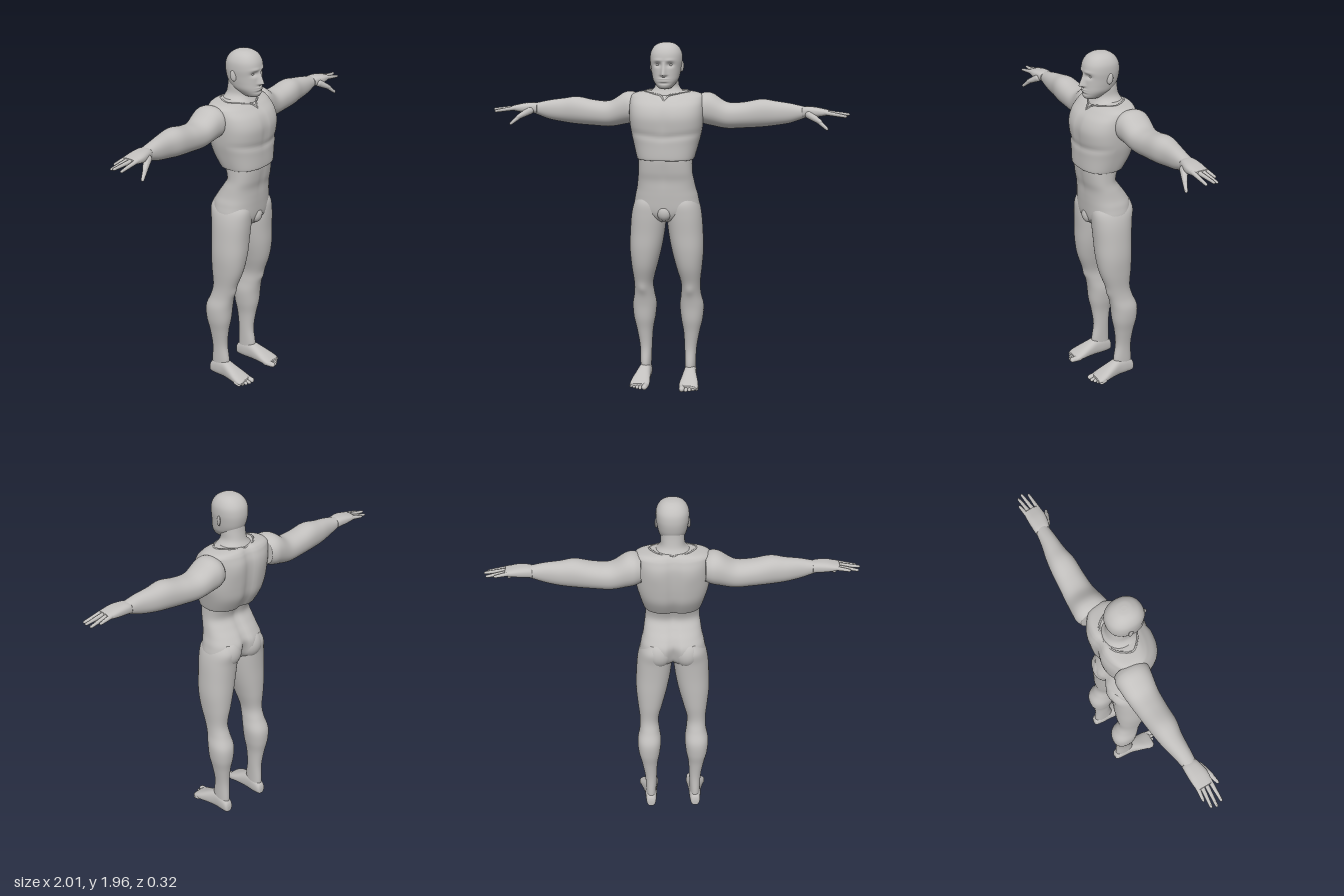
import * as THREE from 'three';

const V = (x, y, z) => new THREE.Vector3(x, y, z);
const gauss = (d, s) => Math.exp(-(d * d) / (s * s));

// Smooth body through cross-sections along an axis.
// Row: [position, uMin, uMax, vMin, vMax]; (u, v) is (z, x) for y, (y, z) for x, (x, y) for z.
function loft(axis, rows, { power = 2.2, seg = 40, sub = 6, shape } = {}) {
  const rings = (rows.length - 1) * sub + 1, pos = [], idx = [];
  const at = (i) => rows[Math.max(0, Math.min(rows.length - 1, i))];
  const place = (u, v, s) => {
    const p = axis === 'y' ? V(v, s, u) : axis === 'x' ? V(s, u, v) : V(u, v, s);
    if (shape) shape(p);
    pos.push(p.x, p.y, p.z);
  };
  const ends = [];
  for (let r = 0; r < rings; r++) {
    const i = Math.min(Math.floor(r / sub), rows.length - 2), t = r / sub - i;
    const row = rows[0].map((_, k) => {
      const a = at(i - 1)[k], b = at(i)[k], c = at(i + 1)[k], d = at(i + 2)[k];
      return b + 0.5 * t * (c - a + t * (2 * a - 5 * b + 4 * c - d + t * (3 * (b - c) + d - a)));
    });
    const [s, u0, u1, v0, v1] = row;
    if (r === 0 || r === rings - 1) ends.push([(u0 + u1) / 2, (v0 + v1) / 2, s]);
    for (let j = 0; j < seg; j++) {
      const a = (j / seg) * Math.PI * 2, c = Math.cos(a), n = Math.sin(a);
      place((u0 + u1) / 2 + ((u1 - u0) / 2) * Math.sign(c) * Math.abs(c) ** (2 / power),
        (v0 + v1) / 2 + ((v1 - v0) / 2) * Math.sign(n) * Math.abs(n) ** (2 / power), s);
    }
  }
  ends.forEach((e) => place(...e));
  const low = rings * seg, high = low + 1, last = (rings - 1) * seg;
  for (let j = 0; j < seg; j++) {
    const k = (j + 1) % seg;
    for (let r = 0; r < rings - 1; r++) {
      const a = r * seg + j, b = r * seg + k;
      idx.push(a, b, b + seg, a, b + seg, a + seg);
    }
    idx.push(low, k, j, high, last + j, last + k);
  }
  const g = new THREE.BufferGeometry();
  g.setAttribute('position', new THREE.Float32BufferAttribute(pos, 3));
  g.setIndex(idx);
  g.computeVertexNormals();
  return g;
}

// Tapered capsule from a to b, for fingers and toes
function digit(a, b, ra, rb) {
  const len = a.distanceTo(b), g = new THREE.CapsuleGeometry(1, len / ra, 6, 14);
  g.scale(ra, ra, ra);
  const p = g.attributes.position;
  for (let i = 0; i < p.count; i++) {
    const t = THREE.MathUtils.clamp(p.getY(i) / len + 0.5, 0, 1);
    const k = THREE.MathUtils.lerp(1, rb / ra, t);
    p.setX(i, p.getX(i) * k);
    p.setZ(i, p.getZ(i) * k);
  }
  g.computeVertexNormals();
  g.applyQuaternion(new THREE.Quaternion().setFromUnitVectors(V(0, 1, 0), b.clone().sub(a).normalize()));
  const m = a.clone().add(b).multiplyScalar(0.5);
  return g.translate(m.x, m.y, m.z);
}

function ball(x, y, z, rx, ry, rz) {
  return new THREE.SphereGeometry(1, 24, 16).scale(rx, ry, rz).translate(x, y, z);
}

function mirrored(g) {
  const m = g.clone().scale(-1, 1, 1), ix = m.index.array;
  for (let i = 0; i < ix.length; i += 3) [ix[i], ix[i + 1]] = [ix[i + 1], ix[i]];
  m.computeVertexNormals();
  return m;
}

export function createModel() {
  const model = new THREE.Group();
  model.name = 'figure';
  const clay = new THREE.MeshStandardMaterial({ color: 0xc2c0be });
  clay.name = 'warm grey';
  const add = (name, g) => {
    const m = new THREE.Mesh(g, clay);
    m.name = name;
    model.add(m);
  };
  const pair = (name, g) => {
    add(name + 'Left', g);
    add(name + 'Right', mirrored(g));
  };
  const sym = (rows) => rows.map(([y, z0, z1, x]) => [y, z0, z1, -x, x]);

  // Abdomen and pelvis, with cleft and spine groove behind
  add('abdomen', loft('y', sym([
    [0.965, -0.03, 0.08, 0.03], [0.99, -0.09, 0.1, 0.11], [1.03, -0.125, 0.113, 0.18],
    [1.1, -0.132, 0.118, 0.177], [1.15, -0.108, 0.12, 0.165], [1.2, -0.072, 0.122, 0.157],
    [1.25, -0.045, 0.132, 0.15], [1.31, -0.06, 0.139, 0.15], [1.36, -0.08, 0.139, 0.153],
  ]), { power: 2.4, seg: 64, shape: (p) => {
    if (p.z < 0) p.z += gauss(p.x, 0.025) * (0.03 * gauss(p.y - 1.04, 0.08) + 0.01);
    else p.z -= 0.004 * gauss(p.x, 0.015) * gauss(p.y - 1.25, 0.08);
  } }));
  add('groin', ball(0, 1.02, 0.09, 0.042, 0.045, 0.034));

  // Chest shell with a stepped hem
  add('chest', loft('y', sym([
    [1.318, -0.085, 0.143, 0.153], [1.326, -0.095, 0.151, 0.16], [1.4, -0.135, 0.151, 0.18],
    [1.47, -0.15, 0.153, 0.197], [1.55, -0.158, 0.157, 0.206], [1.61, -0.158, 0.135, 0.207],
    [1.65, -0.148, 0.095, 0.204], [1.668, -0.14, 0.07, 0.195], [1.681, -0.13, 0.045, 0.165],
    [1.69, -0.115, 0.01, 0.1],
  ]), { power: 2.5, seg: 72, shape: (p) => {
    if (p.z > 0.03) {
      p.z -= 0.007 * gauss(p.x, 0.014) * gauss(p.y - 1.54, 0.09);
      p.z -= 0.006 * gauss(p.y - 1.445 - Math.abs(p.x) * 0.1, 0.018);
    } else if (p.z < -0.06) {
      p.z += 0.016 * gauss(p.x, 0.03) - 0.004 * gauss(Math.abs(p.x) - 0.1, 0.05) * gauss(p.y - 1.58, 0.06);
    }
  } }));
  const rim = [[0, 1.642, 0.1], [0.022, 1.668, 0.074], [0.08, 1.679, 0.042], [0.125, 1.685, -0.01],
    [0.105, 1.69, -0.06], [0.07, 1.688, -0.095], [0, 1.684, -0.11]].map((q) => V(...q));
  pair('neckline', new THREE.TubeGeometry(new THREE.CatmullRomCurve3(rim), 40, 0.005, 6));

  // Neck flaring into the shoulders
  add('neck', loft('y', sym([
    [1.63, -0.13, 0.08, 0.15], [1.67, -0.118, 0.068, 0.115], [1.695, -0.102, 0.055, 0.082],
    [1.72, -0.09, 0.049, 0.066], [1.76, -0.083, 0.055, 0.063], [1.8, -0.08, 0.055, 0.06],
  ])));

  // Head with sculpted sockets, nose and mouth
  add('head', loft('y', sym([
    [1.705, 0.04, 0.09, 0.02], [1.712, 0.01, 0.106, 0.036], [1.73, -0.025, 0.114, 0.053],
    [1.755, -0.055, 0.114, 0.069], [1.785, -0.078, 0.113, 0.077], [1.82, -0.089, 0.112, 0.083],
    [1.86, -0.093, 0.114, 0.088], [1.9, -0.086, 0.107, 0.085], [1.932, -0.064, 0.086, 0.068],
    [1.951, -0.034, 0.054, 0.041], [1.957, -0.005, 0.025, 0.012],
  ]), { seg: 112, sub: 9, shape: (p) => {
    if (p.z < 0.03) return;
    const x = Math.abs(p.x), y = p.y;
    const bridge = THREE.MathUtils.clamp((1.855 - y) / 0.07, 0, 1) * THREE.MathUtils.smoothstep(y, 1.77, 1.785);
    p.z += 0.03 * bridge * gauss(x, 0.009 + 0.006 * bridge);
    p.z -= 0.014 * gauss(x - 0.034, 0.02) * gauss(y - 1.838, 0.013);
    p.z += 0.004 * gauss(x - 0.032, 0.026) * gauss(y - 1.862, 0.008);
    p.z += 0.006 * gauss(x, 0.024) * (gauss(y - 1.761, 0.005) + gauss(y - 1.749, 0.005));
    p.z -= 0.004 * gauss(x, 0.03) * gauss(y - 1.737, 0.006);
  } }));
  pair('eye', ball(0.034, 1.838, 0.084, 0.014, 0.01, 0.012));
  pair('ear', ball(0, 0, 0, 0.007, 0.03, 0.017).rotateX(-0.15).rotateY(-0.35).translate(0.086, 1.825, 0.0));

  // Arms
  pair('arm', loft('x', [
    [0.17, 1.52, 1.665, -0.145, 0.02], [0.205, 1.505, 1.68, -0.158, 0.035], [0.25, 1.495, 1.674, -0.156, 0.03],
    [0.33, 1.481, 1.627, -0.146, 0.02], [0.42, 1.485, 1.628, -0.138, 0.015], [0.52, 1.492, 1.646, -0.13, 0.012],
    [0.6, 1.502, 1.636, -0.118, -0.002], [0.68, 1.517, 1.625, -0.1, -0.008], [0.75, 1.542, 1.61, -0.09, -0.015],
    [0.765, 1.547, 1.607, -0.088, -0.018],
  ]));

  // Hands: palm, four fingers and thumb
  pair('palm', loft('x', [
    [0.745, 1.548, 1.606, -0.092, -0.012], [0.77, 1.55, 1.61, -0.094, -0.005], [0.82, 1.553, 1.607, -0.095, 0.005],
    [0.865, 1.56, 1.598, -0.093, 0.002], [0.89, 1.566, 1.592, -0.088, -0.006],
  ], { power: 2.6, seg: 32 }));
  [[-0.08, 0.937, -0.088], [-0.058, 0.982, -0.07], [-0.034, 0.992, -0.045], [-0.01, 0.978, -0.01]]
    .forEach(([z, tip, zTip], i) =>
      pair('finger' + (i + 1), digit(V(0.865, 1.581, z), V(tip, 1.57 - 0.008 * (i % 2), zTip), 0.0125, 0.008)));
  pair('thumbBase', digit(V(0.785, 1.567, -0.012), V(0.84, 1.535, 0.018), 0.022, 0.014));
  pair('thumb', digit(V(0.835, 1.538, 0.016), V(0.88, 1.5, 0.035), 0.0135, 0.009));

  // Legs
  pair('leg', loft('y', [
    [0.03, -0.118, -0.025, 0.102, 0.158], [0.1, -0.119, -0.006, 0.1, 0.161], [0.2, -0.115, -0.02, 0.096, 0.165],
    [0.3, -0.126, -0.01, 0.09, 0.182], [0.38, -0.142, 0.006, 0.076, 0.2], [0.46, -0.143, 0.014, 0.069, 0.205],
    [0.53, -0.115, 0.028, 0.078, 0.192], [0.6, -0.097, 0.048, 0.081, 0.19], [0.7, -0.105, 0.083, 0.055, 0.201],
    [0.8, -0.11, 0.1, 0.03, 0.209], [0.9, -0.113, 0.105, 0.012, 0.206], [1.0, -0.12, 0.111, 0.003, 0.198],
    [1.07, -0.13, 0.108, 0.012, 0.181], [1.12, -0.11, 0.08, 0.04, 0.15],
  ], { shape: (p) => {
    if (p.z > -0.02) p.z += 0.008 * gauss(p.x - 0.135, 0.025) * gauss(p.y - 0.565, 0.03);
  } }));
  pair('buttock', ball(0.077, 1.06, -0.07, 0.072, 0.085, 0.067));

  // Feet and toes
  pair('foot', loft('z', [
    [-0.132, 0.118, 0.145, 0.015, 0.045], [-0.122, 0.105, 0.158, 0.004, 0.075], [-0.08, 0.098, 0.164, 0, 0.105],
    [-0.03, 0.096, 0.168, 0, 0.108], [0.02, 0.092, 0.18, 0, 0.088], [0.07, 0.086, 0.193, 0, 0.062],
    [0.105, 0.086, 0.196, 0, 0.044], [0.125, 0.092, 0.188, 0.004, 0.032],
  ], { power: 2.4 }));
  pair('bigToe', digit(V(0.104, 0.019, 0.095), V(0.107, 0.017, 0.139), 0.018, 0.016));
  for (let i = 0; i < 4; i++) {
    const x = 0.131 + i * 0.019;
    pair('toe' + (i + 2), digit(V(x - 0.003, 0.018, 0.085), V(x, 0.012, 0.141 - i * 0.011), 0.013, 0.01));
  }
  return model;
}
